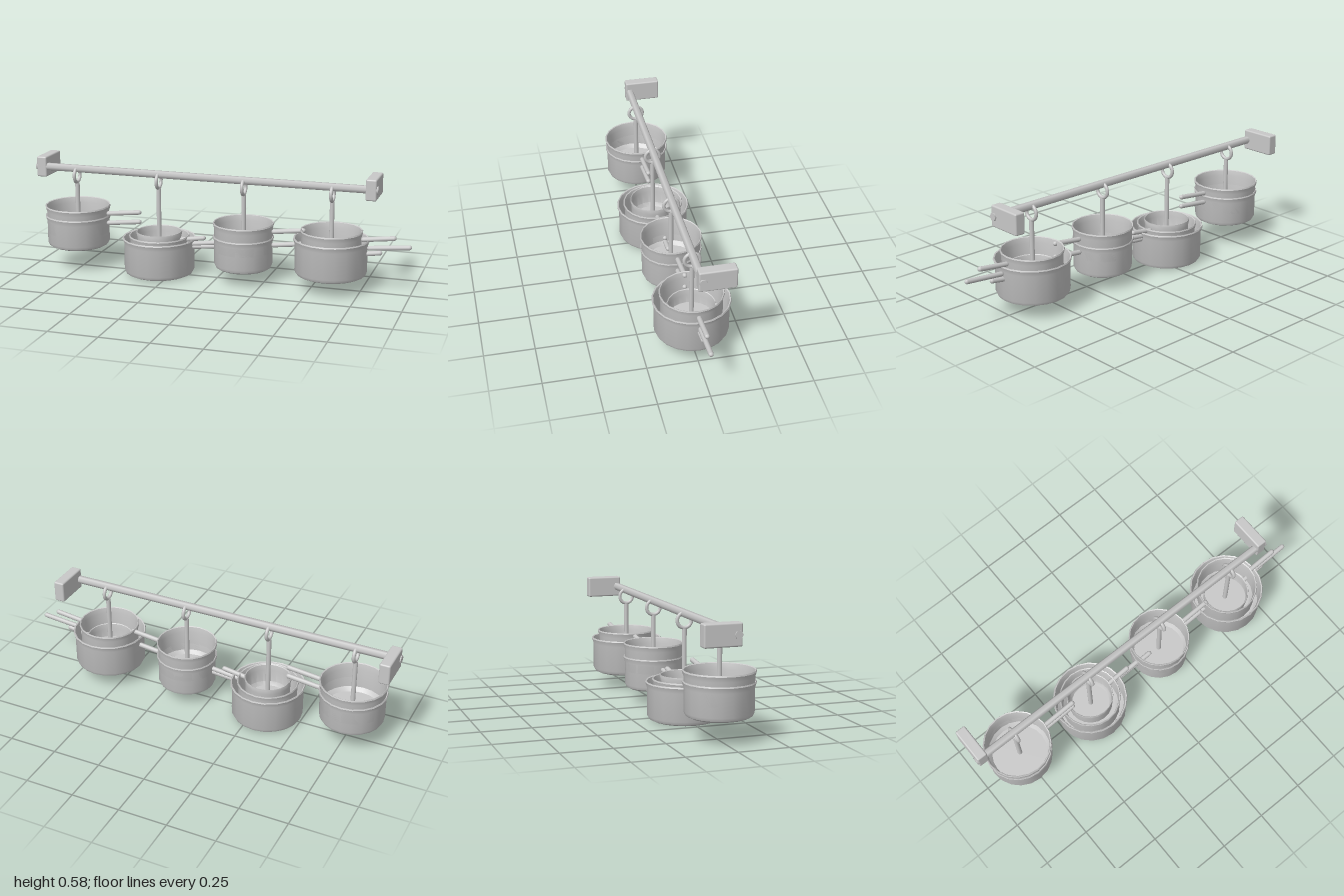
import * as THREE from 'three';
import { toCreasedNormals } from 'three/addons/utils/BufferGeometryUtils.js';
import { RoundedBoxGeometry } from 'three/addons/geometries/RoundedBoxGeometry.js';

export function createModel() {
  const model = new THREE.Group();
  const steel = new THREE.MeshStandardMaterial({ color: 0xc8c8c8 });
  steel.name = 'steel grey';

  function add(parent, name, geometry, x = 0, y = 0, z = 0) {
    const mesh = new THREE.Mesh(geometry, steel);
    mesh.name = name;
    mesh.position.set(x, y, z);
    parent.add(mesh);
    return mesh;
  }

  // Saucepan with a flared rim and one slightly rising handle towards +x
  function pan(parent, r, height, top, handleLength) {
    const group = new THREE.Group();
    group.name = 'saucepan';
    group.position.y = top - height;
    parent.add(group);
    const profile = [
      [0, 0], [r * 0.82, 0], [r * 0.91, 0.008], [r * 0.953, 0.024],
      [r * 0.953, height - 0.032], [r, height - 0.007], [r * 0.985, height],
      [r * 0.955, height - 0.003], [r * 0.92, height - 0.032],
      [r * 0.92, 0.03], [r * 0.82, 0.01], [0, 0.01],
    ].map(([x, y]) => new THREE.Vector2(x, y));
    add(group, 'panBody', toCreasedNormals(new THREE.LatheGeometry(profile, 20), 0.6));

    const start = new THREE.Vector3(r * 0.94, height - 0.04, 0);
    const end = new THREE.Vector3(r + handleLength, height - 0.018, 0);
    const radius = 0.0125;
    const span = end.clone().sub(start);
    const handle = add(group, 'panHandle',
      new THREE.CapsuleGeometry(radius, span.length() - 2 * radius, 3, 10));
    handle.position.copy(start).add(end).multiplyScalar(0.5);
    handle.rotation.z = Math.atan2(span.y, span.x) - Math.PI / 2;
  }

  // Hanging rail with its two wall brackets
  const rail = add(model, 'rail', new THREE.CylinderGeometry(0.0205, 0.0205, 1.826, 6), -0.087, 0.526, 0);
  rail.rotation.z = Math.PI / 2;
  for (const x of [-0.967, 0.791]) {
    add(model, 'wallBracket', new RoundedBoxGeometry(0.055, 0.108, 0.183, 2, 0.008), x, 0.526, -0.0715);
  }

  // Each stack: position, rod end, pans as [radius, height, rim height, handle length]
  const stacks = [
    { x: -0.773, rodEnd: 0.172, pans: [[0.172, 0.168, 0.283, 0.185], [0.172, 0.168, 0.334, 0.185]] },
    { x: -0.318, rodEnd: 0.1, pans: [[0.192, 0.195, 0.195, 0.212], [0.158, 0.168, 0.207, 0.168], [0.12, 0.13, 0.226, 0.135]] },
    { x: 0.139, rodEnd: 0.145, pans: [[0.157, 0.17, 0.24, 0.168], [0.157, 0.17, 0.31, 0.168]] },
    { x: 0.596, rodEnd: 0.11, pans: [[0.192, 0.193, 0.267, 0.212], [0.158, 0.168, 0.308, 0.168], [0.12, 0.13, 0.228, 0.138]] },
  ];
  for (const { x, rodEnd, pans } of stacks) {
    const stack = new THREE.Group();
    stack.name = 'hangingStack';
    stack.position.x = x;
    model.add(stack);

    // Ring looped around the rail, and the rod below it
    const ring = add(stack, 'hookRing', new THREE.TorusGeometry(0.037, 0.009, 10, 28), 0, 0.491, 0);
    ring.rotation.y = Math.PI / 2;
    const length = 0.452 - rodEnd;
    add(stack, 'hookRod', new THREE.CylinderGeometry(0.012, 0.012, length, 12), 0, rodEnd + length / 2, 0);

    for (const p of pans) pan(stack, ...p);
  }
  return model;
}
